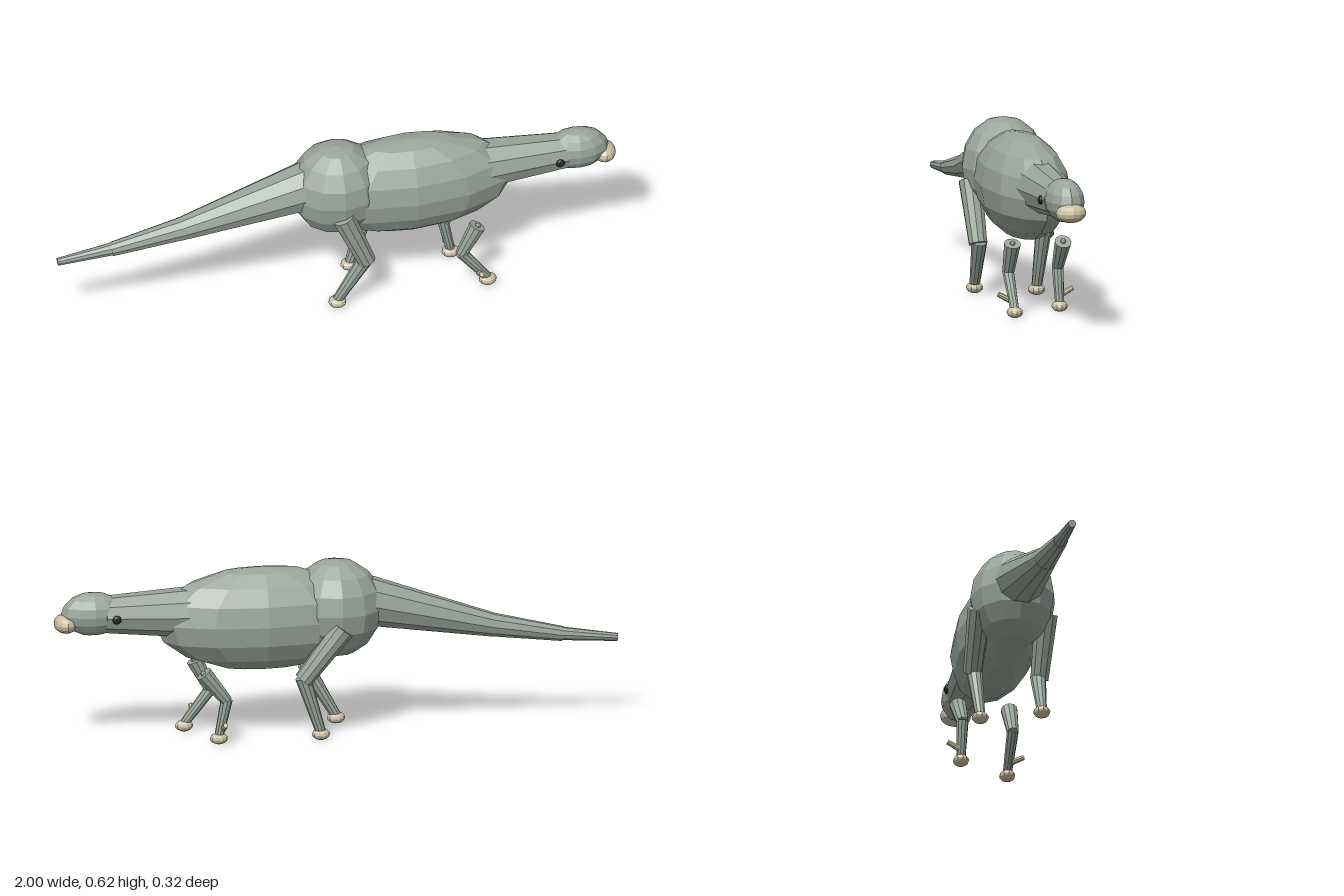
import * as THREE from 'three';

const V = (x, y, z) => new THREE.Vector3(x, y, z);

export function createModel() {
  const group = new THREE.Group();
  const material = (name, color) => {
    const m = new THREE.MeshStandardMaterial({ color, flatShading: true });
    m.name = name;
    return m;
  };
  const skin = material('greyGreenSkin', 0x9aa59b);
  const horn = material('paleHorn', 0xcbc0a2);
  const dark = material('darkEye', 0x262626);

  const add = (name, geometry, mat) => {
    const mesh = new THREE.Mesh(geometry, mat);
    mesh.name = name;
    group.add(mesh);
    return mesh;
  };
  // Faceted ellipsoid with its poles along y
  const ellipsoid = (name, mat, c, r, w = 12, h = 8) => {
    const mesh = add(name, new THREE.SphereGeometry(1, w, h), mat);
    mesh.position.copy(c);
    mesh.scale.copy(r);
    return mesh;
  };
  // Tapered limb between two points
  const limb = (name, mat, a, b, ra, rb, sides = 10) => {
    const dir = b.clone().sub(a);
    const mesh = add(name, new THREE.CylinderGeometry(rb, ra, dir.length(), sides), mat);
    mesh.position.copy(a).add(b).multiplyScalar(0.5);
    mesh.quaternion.setFromUnitVectors(V(0, 1, 0), dir.normalize());
    return mesh;
  };

  // Trunk
  ellipsoid('body', skin, V(0.26, 0.425, 0), V(0.38, 0.185, 0.146));
  ellipsoid('hips', skin, V(0, 0.45, 0), V(0.167, 0.175, 0.15));

  // Neck and head
  limb('neck', skin, V(0.5, 0.458, 0), V(0.82, 0.464, 0), 0.091, 0.065);
  ellipsoid('head', skin, V(0.86, 0.469, 0), V(0.113, 0.077, 0.068));
  ellipsoid('beak', horn, V(0.956, 0.438, 0), V(0.042, 0.034, 0.055));

  // Tail in three tapering pieces
  limb('tailBase', skin, V(-0.08, 0.476, 0), V(-0.565, 0.355, 0), 0.092, 0.041);
  limb('tailMiddle', skin, V(-0.55, 0.359, 0), V(-0.805, 0.312, 0), 0.042, 0.026);
  limb('tailTip', skin, V(-0.795, 0.314, 0), V(-0.998, 0.29, 0), 0.024, 0.014);

  // Each side in its own stride: s is the z direction
  const strides = [
    { side: 'right', s: 1, knee: [0.082, 0.192], hindFoot: -0.02, elbow: [0.425, 0.145], frontFoot: 0.52, thumb: 0.487 },
    { side: 'left', s: -1, knee: [0.135, 0.222], hindFoot: 0.07, elbow: [0.402, 0.155], frontFoot: 0.43, thumb: 0.415 },
  ];
  for (const { side, s, knee, hindFoot, elbow, frontFoot, thumb } of strides) {
    const part = (name) => side + name;
    ellipsoid(part('Eye'), dark, V(0.786, 0.46, s * 0.067), V(0.016, 0.016, 0.009), 10, 8);

    // Hind leg
    limb(part('Thigh'), skin, V(-0.005, 0.403, s * 0.119), V(knee[0], knee[1], s * 0.113), 0.042, 0.033);
    limb(part('Shin'), skin, V(knee[0], knee[1] + 0.01, s * 0.108), V(hindFoot, 0.028, s * 0.1), 0.028, 0.018);
    ellipsoid(part('HindFoot'), horn, V(hindFoot, 0.021, s * 0.1), V(0.032, 0.02, 0.03), 10, 8);

    // Front leg
    limb(part('UpperArm'), skin, V(0.483, 0.257, s * 0.091), V(elbow[0], elbow[1], s * 0.092), 0.03, 0.021);
    ellipsoid(part('Shoulder'), skin, V(0.485, 0.258, s * 0.091), V(0.01, 0.01, 0.01), 8, 6);
    limb(part('Forearm'), skin, V(elbow[0], elbow[1] + 0.006, s * 0.092), V(frontFoot, 0.028, s * 0.092), 0.021, 0.016);
    ellipsoid(part('FrontFoot'), horn, V(frontFoot, 0.021, s * 0.092), V(0.032, 0.02, 0.028), 10, 8);
    limb(part('ThumbSpike'), horn, V(thumb, 0.058, s * 0.1), V(thumb, 0.081, s * 0.143), 0.011, 0.009, 8);
  }
  return group;
}
